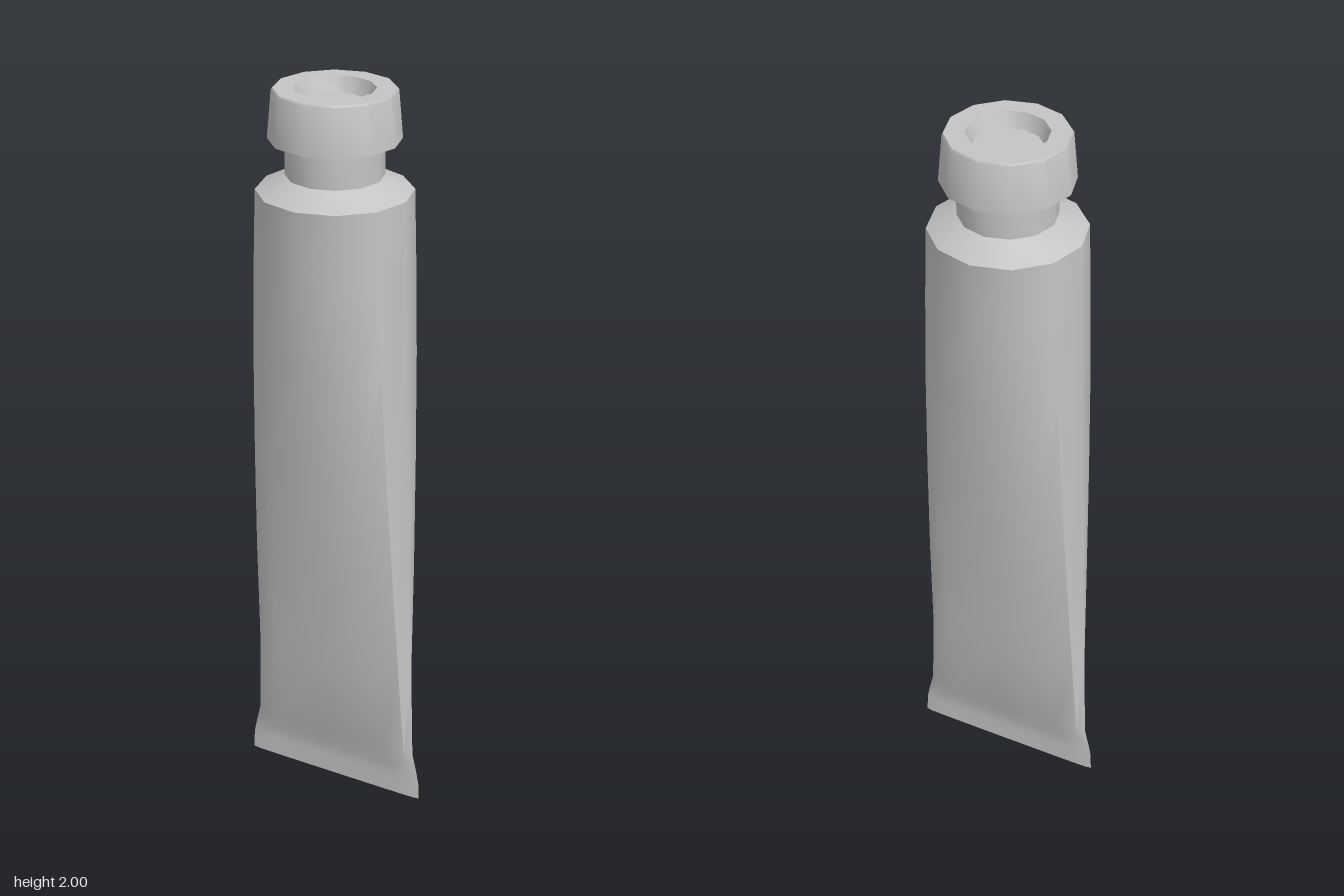
import * as THREE from 'three';
import { toCreasedNormals } from 'three/addons/utils/BufferGeometryUtils.js';

const SIDES = 12;

// Lathe with the tube's 12 sides, smooth round the axis and sharp at rims
function turned(name, profile, material) {
  const points = profile.map(([r, y]) => new THREE.Vector2(r, y));
  const geometry = toCreasedNormals(new THREE.LatheGeometry(points, SIDES), 0.65);
  const mesh = new THREE.Mesh(geometry, material);
  mesh.name = name;
  return mesh;
}

// Loft of rounded cross-sections; a smaller power gives a squarer section
function loft(rows) {
  const positions = [], index = [];
  const soft = (v, e) => Math.sign(v) * Math.pow(Math.abs(v), e);
  for (const [y, halfWidth, halfDepth, power] of rows) {
    for (let j = 0; j < SIDES; j++) {
      const a = (j / SIDES) * Math.PI * 2;
      positions.push(halfWidth * soft(Math.sin(a), power), y, halfDepth * soft(Math.cos(a), power));
    }
  }
  for (let i = 0; i < rows.length - 1; i++) {
    for (let j = 0; j < SIDES; j++) {
      const a = i * SIDES + j, b = i * SIDES + (j + 1) % SIDES;
      index.push(a, b, b + SIDES, a, b + SIDES, a + SIDES);
    }
  }
  // Close the bottom edge
  for (let j = 1; j < SIDES - 1; j++) index.push(0, j + 1, j);
  const geometry = new THREE.BufferGeometry();
  geometry.setAttribute('position', new THREE.Float32BufferAttribute(positions, 3));
  geometry.setIndex(index);
  return toCreasedNormals(geometry, 0.8);
}

export function createModel() {
  const group = new THREE.Group();
  group.name = 'squeezeTube';
  const grey = new THREE.MeshStandardMaterial({ color: 0xc4c4c4 });
  grey.name = 'plain grey';

  // Body: round at the shoulder, pressed flat towards the crimp
  const body = new THREE.Mesh(loft([
    // y, half width, half depth, section power
    [0, 0.268, 0.004, 0.5],
    [0.05, 0.266, 0.004, 0.5],
    [0.09, 0.258, 0.005, 0.5],
    [0.14, 0.246, 0.024, 0.55],
    [0.4, 0.238, 0.056, 0.6],
    [0.7, 0.228, 0.092, 0.6],
    [1.0, 0.218, 0.126, 0.65],
    [1.3, 0.21, 0.159, 0.75],
    [1.55, 0.204, 0.184, 0.88],
    [1.74, 0.2, 0.2, 1],
  ]), grey);
  body.name = 'body';
  group.add(body);

  // Sloping shoulder and threadless neck
  group.add(turned('shoulder', [[0.2, 1.74], [0.125, 1.778]], grey));
  group.add(turned('neck', [[0.125, 1.77], [0.125, 1.88]], grey));

  // Tapered cap with a shallow dish in its top
  group.add(turned('cap', [
    [0.12, 1.872], [0.168, 1.872], [0.157, 1.995], [0.154, 2],
    [0.103, 2], [0.088, 1.96], [0, 1.96],
  ], grey));

  return group;
}
